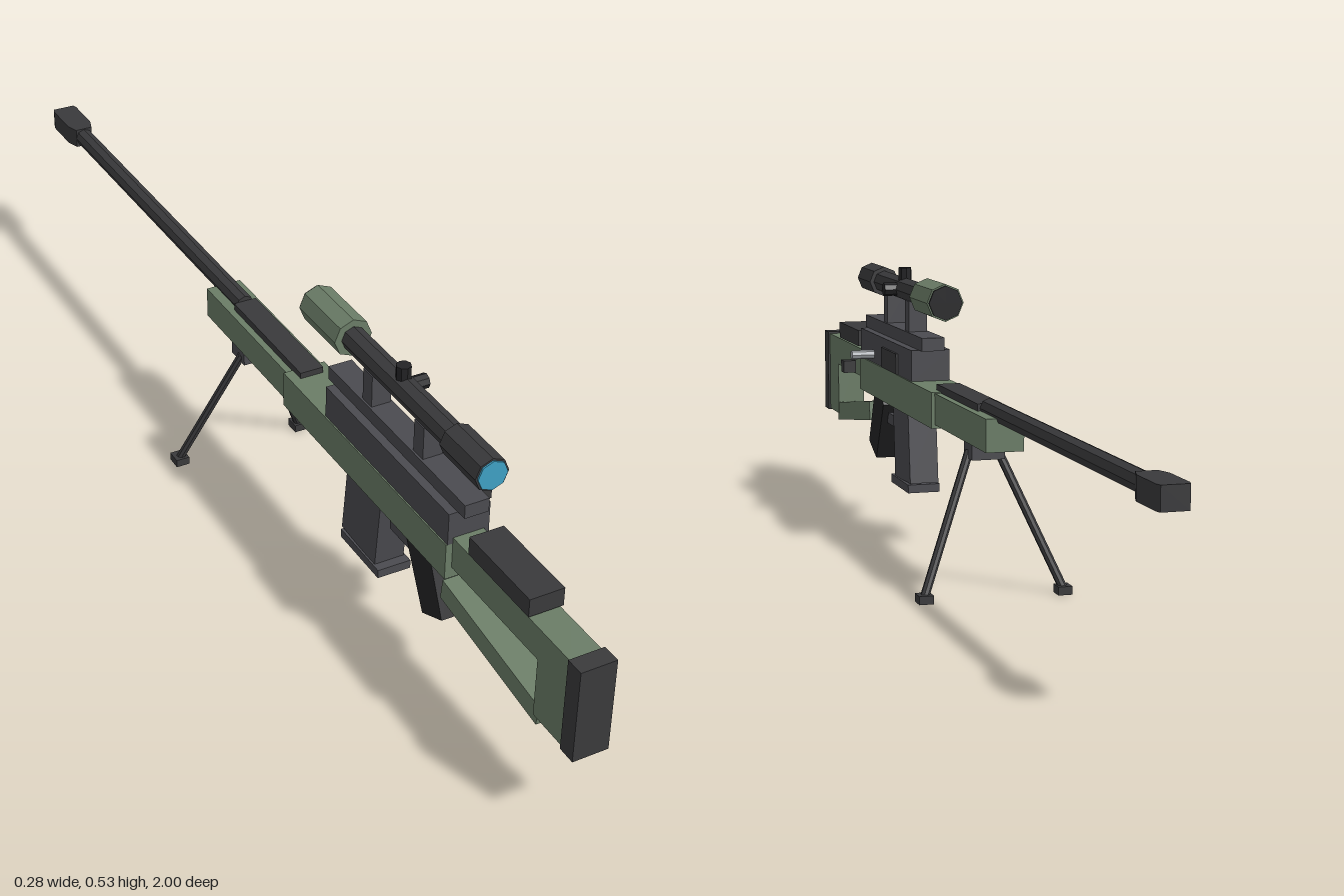
import * as THREE from 'three';

const paint = (color) => new THREE.MeshStandardMaterial({ color, flatShading: true });

export function createModel() {
  const model = new THREE.Group();
  const green = paint(0x6b7d67), dark = paint(0x3a3a3c), steel = paint(0x4b4b50);
  const black = paint(0x242426), silver = paint(0xa4a8ae), blue = paint(0x3fa0c4);

  const add = (name, geometry, material, x = 0, y = 0, z = 0) => {
    const mesh = new THREE.Mesh(geometry, material);
    mesh.name = name;
    mesh.position.set(x, y, z);
    model.add(mesh);
    return mesh;
  };
  // Box given by half width and its y and z ranges
  const block = (name, material, half, y0, y1, z0, z1, x = 0) =>
    add(name, new THREE.BoxGeometry(half * 2, y1 - y0, z1 - z0), material, x, (y0 + y1) / 2, (z0 + z1) / 2);
  // Eight-sided rod between two points
  const rod = (name, material, radius, a, b) => {
    const from = new THREE.Vector3(...a), to = new THREE.Vector3(...b);
    const dir = to.clone().sub(from);
    const mesh = add(name, new THREE.CylinderGeometry(radius, radius, dir.length(), 8), material);
    mesh.position.copy(from).add(to).multiplyScalar(0.5);
    mesh.quaternion.setFromUnitVectors(new THREE.Vector3(0, 1, 0), dir.normalize());
    return mesh;
  };
  // Side profile of [z, y] corners, extruded across the width
  const slab = (name, material, half, points) => {
    const shape = new THREE.Shape(points.map(([z, y]) => new THREE.Vector2(-z, y)));
    const geometry = new THREE.ExtrudeGeometry(shape, { depth: half * 2, bevelEnabled: false });
    geometry.translate(0, 0, -half);
    geometry.rotateY(Math.PI / 2);
    return add(name, geometry, material);
  };

  // Stock
  block('buttPad', dark, 0.032, 0.17, 0.342, 0.967, 1);
  block('stockRear', green, 0.028, 0.172, 0.338, 0.887, 0.967);
  block('stockTop', green, 0.028, 0.28, 0.338, 0.63, 0.887);
  slab('stockLowerBar', green, 0.027, [[0.895, 0.157], [0.61, 0.198], [0.615, 0.236], [0.9, 0.195]]);
  block('cheekRest', dark, 0.031, 0.342, 0.375, 0.69, 0.86);

  // Body and forend
  block('body', green, 0.04, 0.26, 0.327, 0.09, 0.64);
  block('forend', green, 0.034, 0.267, 0.325, -0.23, 0.09);
  block('forendPlate', dark, 0.022, 0.322, 0.338, -0.14, 0.12);
  block('receiver', steel, 0.0375, 0.325, 0.386, 0.24, 0.64);
  block('rail', steel, 0.022, 0.386, 0.411, 0.22, 0.66);
  block('ejectionPort', dark, 0.004, 0.328, 0.368, 0.34, 0.455, 0.038);

  // Bolt handle
  rod('boltHandle', silver, 0.009, [0.03, 0.344, 0.535], [0.083, 0.344, 0.535]);
  block('boltKnob', dark, 0.0125, 0.31, 0.334, 0.523, 0.547, 0.089);

  // Barrel and muzzle brake
  rod('barrel', dark, 0.0175, [0, 0.33, -0.14], [0, 0.33, -0.91]);
  const plan = [[-0.017, 0.89], [0.017, 0.89], [0.025, 0.915], [0.025, 0.99], [0.022, 1], [-0.022, 1], [-0.025, 0.99], [-0.025, 0.915]];
  const brake = new THREE.ExtrudeGeometry(
    new THREE.Shape(plan.map(([x, z]) => new THREE.Vector2(x, z))), { depth: 0.038, bevelEnabled: false });
  brake.rotateX(-Math.PI / 2);
  add('muzzleBrake', brake, dark, 0, 0.311, 0);

  // Magazine, grip and trigger
  slab('magazine', steel, 0.028, [[0.402, 0.117], [0.287, 0.122], [0.303, 0.265], [0.417, 0.265]]);
  block('magazineBase', steel, 0.0315, 0.103, 0.119, 0.29, 0.42);
  slab('grip', black, 0.027, [[0.618, 0.155], [0.558, 0.128], [0.498, 0.245], [0.505, 0.262], [0.57, 0.262]]);
  block('triggerGuard', steel, 0.014, 0.206, 0.228, 0.425, 0.522);
  slab('trigger', silver, 0.006, [[0.485, 0.222], [0.474, 0.222], [0.462, 0.262], [0.474, 0.262]]);

  // Scope, axis at height 0.485
  const scopeY = 0.485;
  const scopePart = (name, material, radius, z0, z1) => {
    const geometry = new THREE.CylinderGeometry(radius, radius, z1 - z0, 8);
    geometry.rotateX(Math.PI / 2);
    add(name, geometry, material, 0, scopeY, (z0 + z1) / 2);
  };
  scopePart('scopeTube', dark, 0.022, 0.25, 0.6);
  scopePart('scopeEyepiece', dark, 0.03, 0.59, 0.695);
  scopePart('eyepieceLens', blue, 0.0265, 0.69, 0.698);
  scopePart('scopeObjective', green, 0.035, 0.138, 0.263);
  scopePart('objectiveLens', black, 0.032, 0.134, 0.14);
  rod('topTurret', black, 0.013, [0, scopeY, 0.427], [0, 0.527, 0.427]);
  rod('sideTurret', black, 0.013, [0, scopeY, 0.427], [0.043, scopeY, 0.427]);
  for (const z of [0.51, 0.345]) block('scopeMount', steel, 0.018, 0.41, 0.47, z - 0.015, z + 0.015);

  // Bipod
  block('bipodMount', steel, 0.03, 0.238, 0.268, -0.135, -0.085);
  for (const side of [-1, 1]) {
    rod('bipodLeg', dark, 0.008, [side * 0.026, 0.25, -0.103], [side * 0.126, 0.01, -0.17]);
    block('bipodFoot', dark, 0.013, 0, 0.015, -0.185, -0.156, side * 0.126);
  }
  return model;
}
